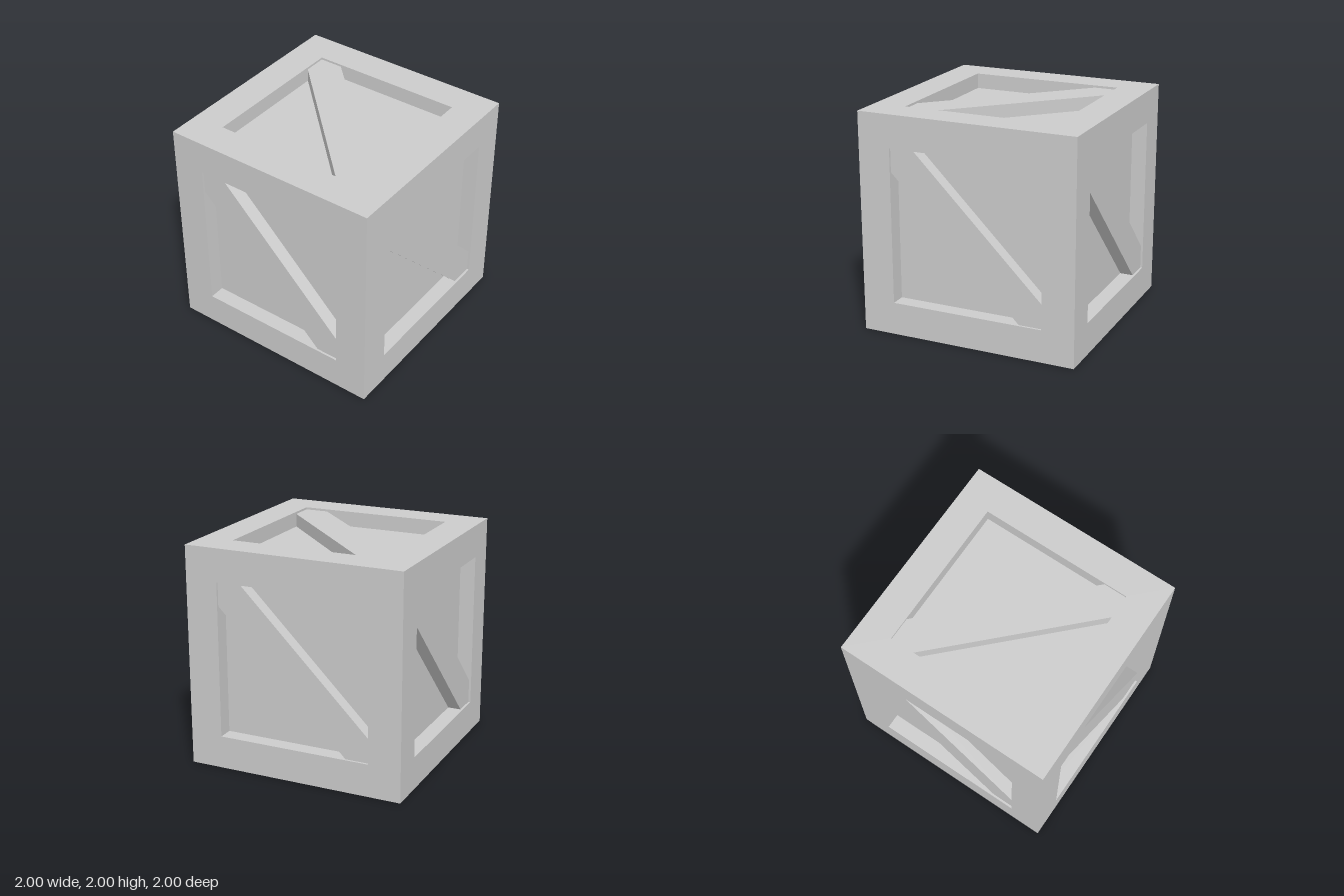
import * as THREE from 'three';

const OUT = 1;         // half size of the crate
const INNER = 0.703;   // half size of each recess
const PANEL = 0.86;    // distance of the recessed panels from the centre
const BRACE = 0.98;    // distance of the brace surface from the centre
const CUT = 0.488;     // where the brace edges meet the frame

const material = new THREE.MeshStandardMaterial({ color: 0xcccccc, flatShading: true });

function polygon(points) {
  return new THREE.Shape(points.map(([x, y]) => new THREE.Vector2(x, y)));
}

const square = (h) => [[-h, -h], [h, -h], [h, h], [-h, h]];

// Square frame with its outer edge mitred, so six of them close into a cube
function frameGeometry() {
  const shape = polygon(square(OUT));
  shape.holes.push(polygon(square(INNER).reverse()));
  const geo = new THREE.ExtrudeGeometry(shape, { depth: OUT - PANEL, bevelEnabled: false });
  geo.translate(0, 0, PANEL);
  const p = geo.attributes.position;
  for (let i = 0; i < p.count; i++) {
    const outer = Math.max(Math.abs(p.getX(i)), Math.abs(p.getY(i))) > 0.9;
    if (outer && p.getZ(i) < 0.9) p.setXY(i, p.getX(i) * PANEL, p.getY(i) * PANEL);
  }
  geo.computeVertexNormals();
  return geo;
}

// Diagonal plank, clipped to the corners of the recess
function braceGeometry() {
  const shape = polygon([
    [-INNER, INNER], [-INNER, CUT], [CUT, -INNER],
    [INNER, -INNER], [INNER, -CUT], [-CUT, INNER],
  ]);
  const geo = new THREE.ExtrudeGeometry(shape, { depth: BRACE - PANEL, bevelEnabled: false });
  return geo.translate(0, 0, PANEL);
}

export function createModel() {
  const crate = new THREE.Group();
  crate.name = 'crate';

  const add = (parent, name, geo) => {
    const mesh = new THREE.Mesh(geo, material);
    mesh.name = name;
    parent.add(mesh);
  };

  // Inner box forms the recessed panels
  const body = new THREE.Group();
  body.name = 'body';
  body.position.y = OUT;
  crate.add(body);
  add(body, 'panels', new THREE.BoxGeometry(2 * PANEL, 2 * PANEL, 2 * PANEL));

  // One frame and one brace per side: [name, tilt about x, turn about y]
  const q = Math.PI / 2;
  const sides = [
    ['front', 0, 0], ['left', 0, q], ['back', 0, 2 * q], ['right', 0, -q],
    ['top', -q, q], ['bottom', q, q],
  ];
  const frame = frameGeometry();
  const brace = braceGeometry();
  for (const [name, tilt, turn] of sides) {
    const side = new THREE.Group();
    side.name = name + 'Side';
    side.rotation.set(tilt, turn, 0, 'YXZ');
    add(side, name + 'Frame', frame);
    add(side, name + 'Brace', brace);
    body.add(side);
  }
  return crate;
}
